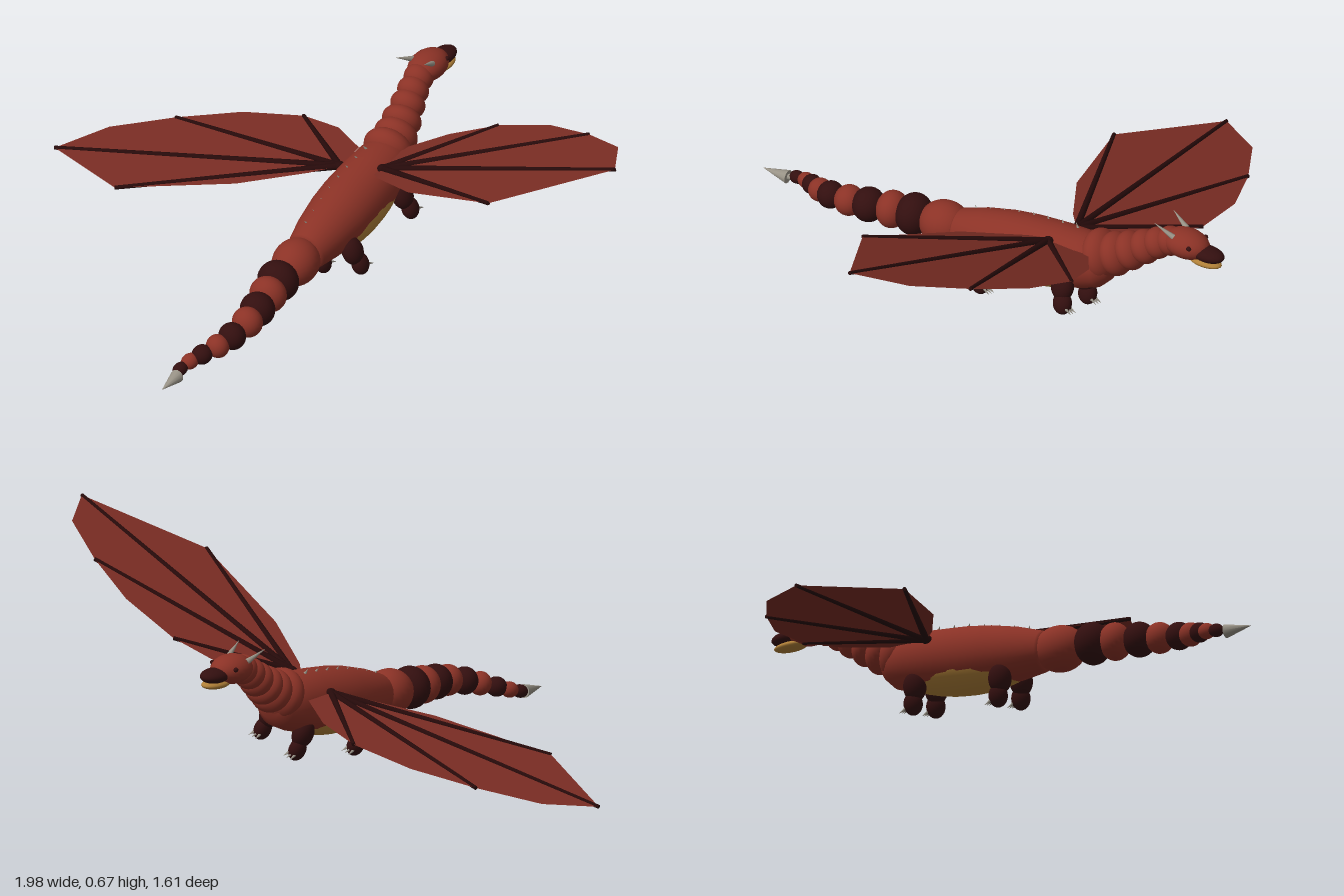
import * as THREE from 'three';

const mat = (name, color, opts = {}) => {
  const m = new THREE.MeshStandardMaterial({ color, ...opts });
  m.name = name;
  return m;
};

export function createModel() {
  const model = new THREE.Group();
  model.name = 'dragon';
  const red = mat('scaleRed', 0x8b3226);
  const membraneRed = mat('membraneRed', 0x7c2d24, { side: THREE.DoubleSide });
  const dark = mat('darkMaroon', 0x330f0f);
  const boneDark = mat('boneDark', 0x260a0a);
  const tan = mat('bellyTan', 0xb08038);
  const grey = mat('hornGrey', 0x9a9488);

  const V = (x, y, z) => new THREE.Vector3(x, y, z);
  const add = (parent, name, geo, material) => {
    const m = new THREE.Mesh(geo, material);
    m.name = name;
    parent.add(m);
    return m;
  };
  const ball = new THREE.SphereGeometry(1, 24, 16);
  const ellipsoid = (parent, name, material, pos, size) => {
    const m = add(parent, name, ball, material);
    m.position.set(...pos);
    m.scale.set(...size);
    return m;
  };
  // tapered rod between two points
  const rod = (parent, name, material, a, b, r0, r1, sides = 8) => {
    const d = b.clone().sub(a);
    const m = add(parent, name, new THREE.CylinderGeometry(r1, r0, d.length(), sides), material);
    m.position.copy(a).addScaledVector(d, 0.5);
    m.quaternion.setFromUnitVectors(V(0, 1, 0), d.normalize());
    return m;
  };
  // overlapping body rings strung along a path of [x, y, z, radius, halfLength]
  const rings = (name, path, colours) => path.forEach(([x, y, z, r, h], i) => {
    const m = ellipsoid(model, name, colours[i % colours.length], [x, y, z], [r, r, h]);
    const p = path[Math.max(i - 1, 0)], q = path[Math.min(i + 1, path.length - 1)];
    m.quaternion.setFromUnitVectors(V(0, 0, 1), V(q[0] - p[0], q[1] - p[1], q[2] - p[2]).normalize());
  });

  // banked torso, nose toward -z
  const torso = new THREE.Group();
  torso.name = 'torso';
  torso.position.set(0.045, 0.193, -0.17);
  torso.rotation.set(0.13, 0, 0.32, 'ZXY');
  model.add(torso);
  const profile = [[0, -0.265], [0.05, -0.262], [0.062, -0.25], [0.08, -0.17], [0.092, -0.08], [0.096, 0],
    [0.094, 0.1], [0.088, 0.18], [0.072, 0.24], [0.045, 0.272], [0, 0.285]];
  const trunk = new THREE.LatheGeometry(profile.map(([r, y]) => new THREE.Vector2(r, y)), 28);
  trunk.rotateX(-Math.PI / 2);
  add(torso, 'trunk', trunk, red);
  ellipsoid(torso, 'belly', tan, [0, -0.02, -0.01], [0.09, 0.09, 0.235]);

  // small spikes along the back
  for (let i = 0; i < 8; i++) {
    const z = -0.15 + i * 0.05;
    const y = 0.093 - Math.max(0, z) * 0.12;
    rod(torso, 'backSpike', grey, V(0, y - 0.006, z), V(0, y + 0.011, z + 0.008), 0.005, 0.0005, 6);
  }

  // tucked legs with claws
  for (const s of [-1, 1]) for (const z of [-0.15, 0.135]) {
    const leg = new THREE.Group();
    leg.name = z < 0 ? 'frontLeg' : 'hindLeg';
    leg.position.set(s * 0.066, -0.07, z);
    torso.add(leg);
    ellipsoid(leg, 'thigh', dark, [0, -0.005, 0], [0.03, 0.045, 0.036]);
    ellipsoid(leg, 'foot', dark, [s * 0.004, -0.055, -0.006], [0.024, 0.035, 0.03]);
    for (const c of [-1, 0, 1]) {
      rod(leg, 'claw', grey, V(s * 0.004 + c * 0.011, -0.068, -0.026), V(s * 0.004 + c * 0.014, -0.08, -0.045), 0.005, 0.0005, 6);
    }
  }

  // neck
  rings('neckRing', [
    [0.027, 0.25, -0.40, 0.077, 0.05], [0.021, 0.268, -0.45, 0.067, 0.046], [0.012, 0.293, -0.495, 0.06, 0.042],
    [0.003, 0.32, -0.54, 0.053, 0.042], [-0.005, 0.345, -0.58, 0.048, 0.04], [-0.012, 0.365, -0.62, 0.045, 0.04],
  ], [red]);

  // head
  const head = new THREE.Group();
  head.name = 'head';
  head.position.set(-0.015, 0.377, -0.675);
  head.rotation.z = 0.12;
  model.add(head);
  ellipsoid(head, 'skull', red, [0, 0, 0], [0.055, 0.044, 0.075]);
  ellipsoid(head, 'snout', dark, [0, -0.008, -0.075], [0.036, 0.022, 0.055]);
  ellipsoid(head, 'lowerJaw', tan, [0, -0.034, -0.068], [0.031, 0.014, 0.056]);
  for (const s of [-1, 1]) {
    rod(head, 'horn', grey, V(s * 0.035, 0.026, 0.025), V(s * 0.05, 0.058, 0.085), 0.009, 0.0005);
    ellipsoid(head, 'eye', dark, [s * 0.045, 0.014, -0.036], [0.007, 0.007, 0.008]);
  }

  // banded, curling tail and its barb
  rings('tailRing', [
    [0.057, 0.158, 0.135, 0.07, 0.08], [0.064, 0.153, 0.24, 0.064, 0.055], [0.075, 0.148, 0.31, 0.057, 0.048],
    [0.088, 0.142, 0.385, 0.053, 0.05], [0.095, 0.135, 0.45, 0.047, 0.044], [0.088, 0.122, 0.52, 0.042, 0.04],
    [0.07, 0.108, 0.57, 0.036, 0.034], [0.045, 0.094, 0.615, 0.03, 0.032], [0.025, 0.082, 0.65, 0.024, 0.028],
    [0.016, 0.072, 0.688, 0.02, 0.026],
  ], [red, dark]);
  rod(model, 'tailBarbStem', grey, V(0.018, 0.068, 0.69), V(0.025, 0.066, 0.725), 0.009, 0.009);
  rod(model, 'tailBarb', grey, V(0.024, 0.066, 0.715), V(0.027, 0.066, 0.80), 0.021, 0.0005, 10);

  // wings: flat fan membrane with four finger bones; outline as [x, z]
  const outline = [[0.06, -0.375], [0.195, -0.47], [0.345, -0.51], [0.545, -0.488], [0.73, -0.41],
    [0.9, -0.31], [0.99, -0.157], [0.66, 0.02], [0.305, -0.088], [0.12, -0.2], [0.07, -0.25]];
  const wing = (name, side, rootX, height, slope) => {
    const g = new THREE.Group();
    g.name = name;
    model.add(g);
    const at = (x, z) => V(side * x, height + slope * side * x, z);
    const root = V(rootX, height + slope * rootX, -0.26);
    const pts = [root, ...outline.map(([x, z]) => at(x, z))];
    const index = [];
    for (let i = 1; i < pts.length - 1; i++) index.push(0, ...(side > 0 ? [i + 1, i] : [i, i + 1]));
    const geo = new THREE.BufferGeometry().setFromPoints(pts);
    geo.setIndex(index);
    geo.computeVertexNormals();
    add(g, 'membrane', geo, membraneRed);
    for (const i of [2, 4, 6, 7]) rod(g, 'wingBone', boneDark, root, at(...outline[i]), 0.011, 0.006);
    ellipsoid(g, 'shoulder', boneDark, root.toArray(), [0.016, 0.014, 0.016]);
  };
  wing('leftWing', 1, 0.1, 0.24, 0.433);
  wing('rightWing', -1, -0.05, 0.25, 0.242);

  return model;
}
